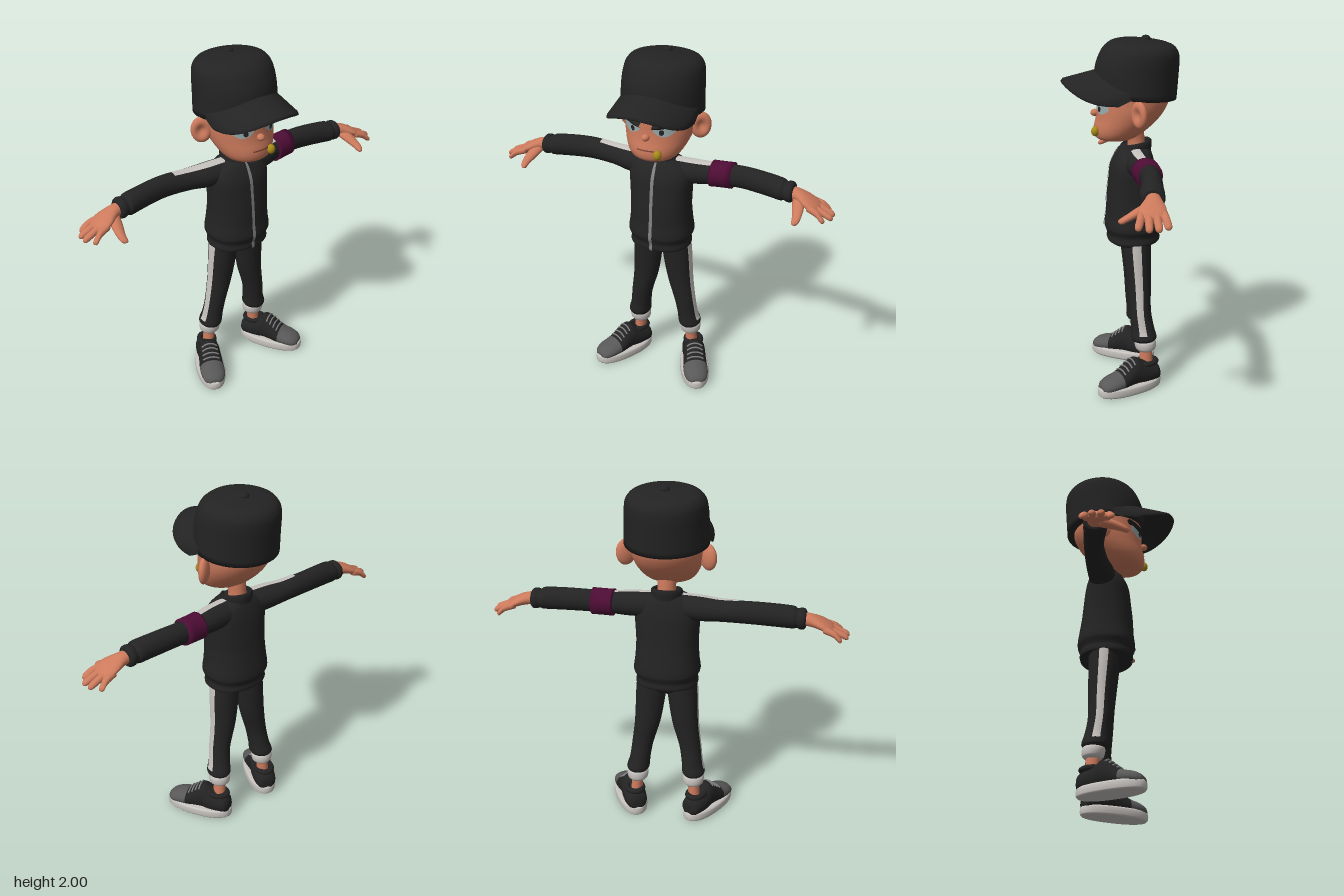
import * as THREE from 'three';

const mat = (name, color) => Object.assign(new THREE.MeshStandardMaterial({ color }), { name });

// Surface from a rule fn(row, column) -> [x, y, z]
function grid(rows, cols, fn, wrap = false) {
  const pos = [], idx = [], n = wrap ? cols : cols + 1;
  for (let i = 0; i <= rows; i++) for (let j = 0; j < n; j++) pos.push(...fn(i, j));
  for (let i = 0; i < rows; i++) for (let j = 0; j < cols; j++) {
    const k = (j + 1) % n, a = i * n + j, b = i * n + k, c = a + n, d = b + n;
    idx.push(a, b, c, b, d, c);
  }
  const g = new THREE.BufferGeometry();
  g.setAttribute('position', new THREE.Float32BufferAttribute(pos, 3));
  g.setIndex(idx);
  g.computeVertexNormals();
  return g;
}

// Smooth interpolation of cross-sections [t, centre1, centre2, radius1, radius2]
function sample(S, t) {
  let i = 0;
  while (i < S.length - 2 && t > S[i + 1][0]) i++;
  const h = S[i + 1][0] - S[i][0], u = (t - S[i][0]) / h;
  const slope = (k, c) => {
    const p = S[Math.max(k - 1, 0)], q = S[Math.min(k + 1, S.length - 1)];
    return (q[c] - p[c]) / (q[0] - p[0]);
  };
  return [1, 2, 3, 4].map((c) => {
    const p = S[i][c], q = S[i + 1][c], u2 = u * u, u3 = u2 * u;
    return (2 * u3 - 3 * u2 + 1) * p + (3 * u2 - 2 * u3) * q
      + h * ((u3 - 2 * u2 + u) * slope(i, c) + (u3 - u2) * slope(i + 1, c));
  });
}

// Point on a lofted surface. Sections per axis: y [y,x,z,rx,rz], x [x,z,y,rz,ry], z [z,y,x,ry,rx]
function point(S, axis, t, a, off = 0, e = 1, size = 1) {
  const [c1, c2, r1, r2] = sample(S, t);
  const pw = (v) => Math.sign(v) * Math.abs(v) ** e;
  const p = c1 + (r1 + off) * size * pw(Math.sin(a)), q = c2 + (r2 + off) * size * pw(Math.cos(a));
  return axis === 'y' ? [p, t, q] : axis === 'x' ? [t, q, p] : [q, p, t];
}

// Closed loft, or a patch of it between angles a0 and a1
function loft(S, axis, o = {}) {
  const { t0 = S[0][0], t1 = S[S.length - 1][0], off = 0, e = 1, a0 = null, a1 = 0, sides = 28 } = o;
  const ts = [t0];
  for (let i = 0; i < S.length - 1; i++) for (let k = 0; k < 4; k++) {
    const t = S[i][0] + (S[i + 1][0] - S[i][0]) * k / 4;
    if (t > t0 + 1e-4 && t < t1 - 1e-4) ts.push(t);
  }
  ts.push(t1);
  if (a0 !== null) return grid(ts.length - 1, 6, (i, j) => point(S, axis, ts[i], a0 + (a1 - a0) * j / 6, off, e));
  const rows = [t0, ...ts, t1], last = rows.length - 1;
  return grid(last, sides, (i, j) =>
    point(S, axis, rows[i], j / sides * Math.PI * 2, off, e, i === 0 || i === last ? 0 : 1), true);
}

function shear(g, k, z0) {
  const p = g.attributes.position;
  for (let i = 0; i < p.count; i++) p.setY(i, p.getY(i) + k * (p.getZ(i) - z0));
  g.computeVertexNormals();
  return g;
}

function flip(g) {
  const m = g.clone().scale(-1, 1, 1), ix = m.index.array;
  for (let i = 0; i < ix.length; i += 3) [ix[i], ix[i + 1]] = [ix[i + 1], ix[i]];
  return m;
}

export function createModel() {
  const root = new THREE.Group();
  root.name = 'boyInTracksuit';
  const black = mat('black cloth', 0x232323), skin = mat('skin', 0xcc7a5c), white = mat('off white', 0xc6c2be);
  const grey = mat('zip grey', 0x808080), toeGrey = mat('toe grey', 0x585858), purple = mat('purple', 0x4e0d35);
  const gold = mat('gold', 0xa98b18), eyeCol = mat('eye', 0x98abad), lip = mat('mouth', 0x7a4030);
  const add = (name, g, m) => {
    const mesh = new THREE.Mesh(g, m);
    mesh.name = name;
    root.add(mesh);
  };
  const both = (name, g, m) => { add(name + 'Left', g, m); add(name + 'Right', flip(g), m); };

  // Head and neck
  const head = [[1.425, 0, 0.035, 0.05, 0.05], [1.435, 0, 0.03, 0.105, 0.095], [1.46, 0, 0.015, 0.14, 0.128],
    [1.5, 0, -0.01, 0.165, 0.155], [1.55, 0, -0.04, 0.185, 0.175], [1.6, 0, -0.06, 0.197, 0.19],
    [1.65, 0, -0.07, 0.2, 0.2], [1.8, 0, -0.08, 0.2, 0.2], [1.9, 0, -0.1, 0.14, 0.14]];
  add('head', loft(head, 'y', { sides: 40 }), skin);
  add('neck', loft([[1.34, 0, -0.09, 0.06, 0.055], [1.42, 0, -0.09, 0.05, 0.048], [1.5, 0, -0.07, 0.06, 0.06]], 'y'), skin);
  add('nose', new THREE.SphereGeometry(0.022, 20, 14).scale(1, 0.9, 1.1).translate(0, 1.578, 0.14), skin);
  add('mouth', loft(head, 'y', { t0: 1.5, t1: 1.507, off: 0.003, a0: -0.3, a1: 0.36 }), lip);

  // Ears with a hollow front
  const ear = new THREE.SphereGeometry(1, 28, 20).scale(0.058, 0.075, 0.03), ep = ear.attributes.position;
  for (let i = 0; i < ep.count; i++) {
    const r = Math.hypot(ep.getX(i) / 0.058, ep.getY(i) / 0.075);
    if (ep.getZ(i) > 0) ep.setZ(i, ep.getZ(i) - 0.03 * Math.exp(-5 * r * r));
  }
  ear.computeVertexNormals();
  both('ear', ear.rotateY(0.6).translate(0.226, 1.605, -0.085), skin);

  // Eyes, pupils and slanted brows follow the face
  const face = (rows, cols, fn) => grid(rows, cols, (i, j) => {
    const [y, a, off] = fn(i / rows, j / cols);
    return point(head, 'y', y, a, off);
  });
  both('eye', face(6, 12, (v, u) => {
    const low = 1.612 - 0.026 * Math.sin(Math.PI * u), high = 1.625 + 0.028 * u;
    return [low + (high - low) * v, 0.2 + 0.6 * u, 0.005];
  }), eyeCol);
  both('pupil', face(6, 8, (v, u) => {
    const s = Math.PI * v, w = 0.07 * Math.sin(s);
    return [1.612 - 0.016 * Math.cos(s), 0.42 + w * (2 * u - 1), 0.008];
  }), black);
  both('brow', face(8, 14, (v, u) => {
    const h = 0.021 * Math.min(1, 0.6 + 2 * u) * Math.sqrt(Math.max(0, 1 - u ** 6));
    return [1.637 + 0.032 * u + h * (2 * v - 1), 0.17 + 0.76 * u, 0.022 * Math.sin(Math.PI * v) - 0.001];
  }), black);

  // Whistle at the corner of the mouth
  add('whistle', new THREE.SphereGeometry(0.025, 20, 14).scale(0.95, 1.1, 0.9).translate(0.07, 1.487, 0.142), gold);

  // Cap
  add('capCrown', shear(loft([[1.675, 0, -0.085, 0.232, 0.226], [1.8, 0, -0.09, 0.228, 0.23], [1.89, 0, -0.107, 0.222, 0.217],
    [1.94, 0, -0.12, 0.203, 0.193], [1.97, 0, -0.128, 0.15, 0.14], [1.982, 0, -0.13, 0.03, 0.03]], 'y', { sides: 44 }), 0.09, -0.1), black);
  add('capButton', new THREE.SphereGeometry(0.027, 18, 12).scale(1, 0.75, 1).translate(0, 1.98, -0.14), black);
  const brimRows = [0, 0.35, 0.7, 0.95, 1, 0.95, 0.7, 0.35, 0];
  add('capBrim', grid(8, 32, (i, j) => {
    const b = (j / 16 - 1) * Math.PI / 2, v = brimRows[i], s = Math.sin(b), c = Math.max(0, Math.cos(b));
    const x = 0.225 * s * (1 - v) + 0.232 * s * v;
    const z = (-0.085 + 0.215 * c) * (1 - v) + (0.03 + 0.295 * c ** 0.8) * v;
    const thick = i < 4 ? 0.011 : i > 4 ? -0.011 : 0;
    return [x, 1.805 - 0.05 * v - 0.095 * (x / 0.232) ** 2 + thick, z];
  }).scale(1, 1, 1), Object.assign(black, { side: THREE.DoubleSide }));

  // Jacket body, zip and collar
  const torso = [[0.835, 0, -0.072, 0.16, 0.125], [0.85, 0, -0.075, 0.176, 0.148], [0.885, 0, -0.075, 0.172, 0.148],
    [0.9, 0, -0.075, 0.176, 0.153], [0.93, 0, -0.075, 0.188, 0.163], [1, 0, -0.075, 0.18, 0.155],
    [1.1, 0, -0.07, 0.175, 0.145], [1.2, 0, -0.07, 0.18, 0.135], [1.28, 0, -0.07, 0.183, 0.125],
    [1.34, 0, -0.075, 0.162, 0.105], [1.372, 0, -0.08, 0.11, 0.088], [1.39, 0, -0.085, 0.07, 0.07]];
  add('jacketBody', loft(torso, 'y', { e: 0.88, sides: 40 }), black);
  add('zip', loft(torso, 'y', { e: 0.88, t0: 0.84, t1: 1.375, off: 0.005, a0: -0.035, a1: 0.035 }), grey);
  const wall = [[1.35, 0.085], [1.385, 0.088], [1.405, 0.086], [1.413, 0.078], [1.405, 0.069], [1.36, 0.064]];
  add('collar', shear(grid(5, 36, (i, j) => {
    const a = j / 18 * Math.PI, [y, r] = wall[i], notch = y > 1.38 ? 0.02 * Math.exp(-12 * (1 - Math.cos(a))) : 0;
    return [r * Math.sin(a), y - notch, -0.085 + 1.05 * r * Math.cos(a)];
  }, true), -0.18, -0.085), black);

  // Sleeves, shoulder stripes and armband
  const arm = [[0.06, -0.09, 1.312, 0.075, 0.07], [0.2, -0.1, 1.312, 0.075, 0.068], [0.3, -0.115, 1.315, 0.064, 0.061],
    [0.45, -0.125, 1.32, 0.055, 0.063], [0.55, -0.12, 1.317, 0.056, 0.064], [0.65, -0.11, 1.31, 0.06, 0.063],
    [0.7, -0.105, 1.305, 0.064, 0.06], [0.718, -0.105, 1.302, 0.056, 0.052], [0.735, -0.105, 1.301, 0.061, 0.058],
    [0.755, -0.105, 1.3, 0.06, 0.056], [0.765, -0.105, 1.3, 0.05, 0.046]];
  both('sleeve', loft(arm, 'x'), black);
  both('shoulderStripe', loft(arm, 'x', { t0: 0.08, t1: 0.4, off: 0.005, a0: -0.15, a1: 0.5 }), white);
  add('armband', loft(arm, 'x', { t0: 0.29, t1: 0.41, off: 0.013 }), purple);

  // Hands
  both('palm', loft([[0.74, -0.105, 1.3, 0.035, 0.035], [0.79, -0.1, 1.295, 0.045, 0.035], [0.85, -0.09, 1.275, 0.069, 0.03],
    [0.9, -0.088, 1.25, 0.068, 0.024], [0.92, -0.088, 1.24, 0.05, 0.014]], 'x'), skin);
  [[-0.142, -0.157, 0.962], [-0.108, -0.108, 0.995], [-0.073, -0.061, 0.997], [-0.037, -0.012, 0.965]].forEach(([k, z, x], i) =>
    both('finger' + (i + 1), loft([[0.86, k, 1.262, 0.02, 0.02], [0.92, (k + z) / 2, 1.242, 0.02, 0.02],
      [x - 0.012, z, 1.216, 0.018, 0.017], [x, z, 1.212, 0.008, 0.008]], 'x', { sides: 14 }), skin));
  both('thumb', loft([[-0.08, 1.275, 0.8, 0.025, 0.035], [-0.02, 1.25, 0.815, 0.024, 0.032], [0.03, 1.225, 0.825, 0.02, 0.024],
    [0.06, 1.21, 0.825, 0.016, 0.018], [0.074, 1.207, 0.82, 0.006, 0.008]], 'z', { sides: 16 }), skin);

  // Trousers with side stripes, cuffs and ankles
  const leg = [[0.275, 0.165, -0.125, 0.055, 0.062], [0.295, 0.165, -0.125, 0.066, 0.073], [0.35, 0.155, -0.118, 0.06, 0.066],
    [0.45, 0.14, -0.105, 0.062, 0.062], [0.6, 0.11, -0.1, 0.075, 0.069], [0.78, 0.092, -0.09, 0.086, 0.08], [0.88, 0.085, -0.085, 0.086, 0.085]];
  both('trouserLeg', loft(leg, 'y'), black);
  both('legStripe', loft(leg, 'y', { t0: 0.32, t1: 0.85, off: 0.004, a0: 1.2, a1: 1.8 }), white);
  add('hips', loft([[0.79, 0, -0.09, 0.06, 0.05], [0.82, 0, -0.09, 0.14, 0.08], [0.88, 0, -0.085, 0.165, 0.1]], 'y'), black);
  both('cuff', loft([[0.215, 0.166, -0.135, 0.045, 0.045], [0.23, 0.166, -0.135, 0.058, 0.058],
    [0.265, 0.166, -0.132, 0.061, 0.062], [0.285, 0.166, -0.13, 0.05, 0.055]], 'y'), white);
  both('ankle', loft([[0.1, 0.175, -0.14, 0.036, 0.04], [0.24, 0.166, -0.135, 0.031, 0.035]], 'y'), skin);

  // Shoes, turned outwards
  const shoe = (name, g, m) => both(name, g.rotateY(0.47).translate(0.237, 0, -0.037), m);
  const upper = [[-0.192, 0.07, 0, 0.035, 0.03], [-0.175, 0.08, 0, 0.052, 0.055], [-0.13, 0.085, 0, 0.064, 0.066],
    [-0.07, 0.095, 0, 0.08, 0.068], [-0.035, 0.108, 0, 0.087, 0.066], [0, 0.1, 0, 0.08, 0.067], [0.05, 0.08, 0, 0.06, 0.071],
    [0.08, 0.072, 0, 0.05, 0.073], [0.13, 0.066, 0, 0.042, 0.07], [0.17, 0.058, 0, 0.032, 0.055], [0.19, 0.053, 0, 0.018, 0.03]];
  shoe('sole', loft([[0, 0, 0, 0.078, 0.19], [0.01, 0, 0, 0.085, 0.2], [0.045, 0, 0, 0.085, 0.2], [0.054, 0, 0, 0.077, 0.192]], 'y', { e: 0.88 }), white);
  shoe('shoeUpper', loft(upper, 'z', { t1: 0.07 }), black);
  shoe('toeCap', loft(upper, 'z', { t0: 0.07 }), toeGrey);
  shoe('shoeCollar', new THREE.TorusGeometry(0.045, 0.016, 10, 24).rotateX(Math.PI / 2).scale(1, 1, 1.2).translate(0, 0.15, -0.115), black);
  for (let i = 0; i < 4; i++) {
    const z = -0.01 + i * 0.022;
    const pts = [0.85, 1.2, 1.57, 1.94, 2.29].map((a) => new THREE.Vector3(...point(upper, 'z', z, a, 0.002)));
    shoe('lace' + (i + 1), new THREE.TubeGeometry(new THREE.CatmullRomCurve3(pts), 10, 0.005, 6), grey);
  }
  return root;
}
